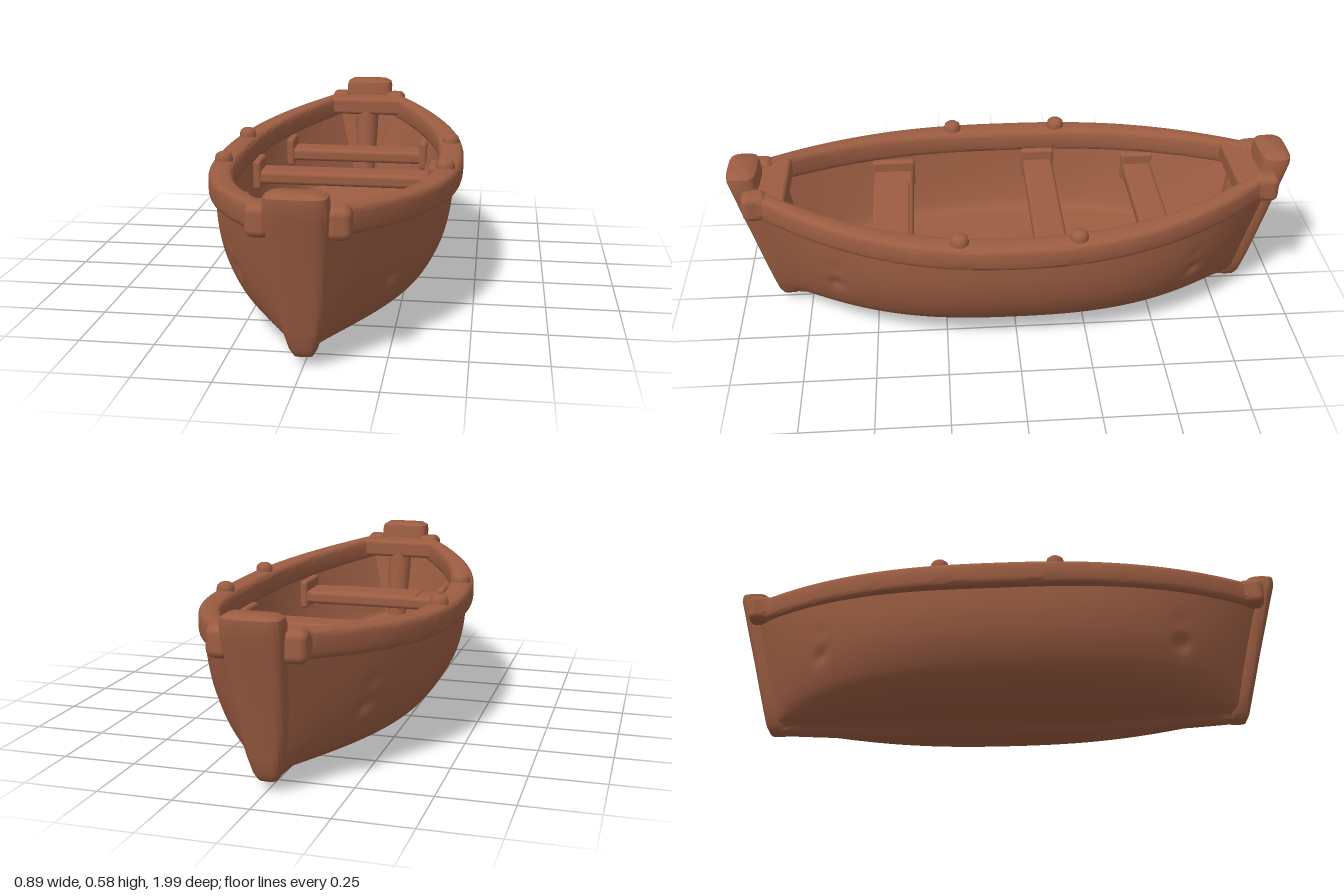
import * as THREE from 'three';
import { toCreasedNormals } from 'three/addons/utils/BufferGeometryUtils.js';
import { RoundedBoxGeometry } from 'three/addons/geometries/RoundedBoxGeometry.js';

const V = (x, y, z) => new THREE.Vector3(x, y, z);
const lerp = THREE.MathUtils.lerp;

// Skin a list of cross-sections; closed sections wrap round, both ends get caps.
function loft(rows, closed) {
  const n = rows[0].length, pos = [], idx = [];
  rows.forEach(r => r.forEach(p => pos.push(p.x, p.y, p.z)));
  const steps = closed ? n : n - 1;
  for (let i = 0; i < rows.length - 1; i++) {
    for (let j = 0; j < steps; j++) {
      const k = (j + 1) % n, a = i * n, b = a + n;
      idx.push(a + j, a + k, b + j, a + k, b + k, b + j);
    }
  }
  [0, rows.length - 1].forEach((r, e) => {
    const c = rows[r].reduce((s, p) => s.add(p), V(0, 0, 0)).divideScalar(n);
    const ci = pos.length / 3;
    pos.push(c.x, c.y, c.z);
    for (let j = 0; j < n; j++) {
      const a = r * n + j, b = r * n + (j + 1) % n;
      if (e) idx.push(ci, a, b); else idx.push(ci, b, a);
    }
  });
  const g = new THREE.BufferGeometry();
  g.setAttribute('position', new THREE.Float32BufferAttribute(pos, 3));
  g.setIndex(idx);
  return toCreasedNormals(g, 0.75);
}

// Rounded-rectangle section point, within -1..1
function roundSquare(a) {
  const f = v => Math.sign(v) * Math.sqrt(Math.abs(v));
  return [f(Math.cos(a)), f(Math.sin(a))];
}

// Half profile from rim to keel, smoothed and mirrored to a full section
function fullProfile(points, count) {
  const half = new THREE.SplineCurve(points.map(p => new THREE.Vector2(...p))).getSpacedPoints(count);
  return [...half.map(p => [-p.x, p.y]), ...half.slice(0, -1).reverse().map(p => [p.x, p.y])];
}

// Plan curve and sheer of the gunwale
const outline = z => 0.445 * (1 - Math.abs(z / 1.05) ** 2.3);
const sheer = z => 0.055 * (z / 0.93) ** 2;

function hullGeometry() {
  const profile = fullProfile([[0.41, 0.43], [0.41, 0.36], [0.402, 0.28], [0.38, 0.2], [0.335, 0.12],
    [0.28, 0.075], [0.2, 0.045], [0.1, 0.031], [0.045, 0.023], [0.025, 0.006], [0, 0.002]], 44);
  const rows = [];
  for (let i = 0; i <= 120; i++) {
    const t = i / 60 - 1;
    rows.push(profile.map(([x, y]) => {
      const s = Math.sign(x), h = y / 0.43;
      const b = 1 - Math.abs(t) ** lerp(2.9, 2.5, h);
      const end = Math.min(Math.abs(x), 0.03 + 0.06 * h);
      const py = y + t * t * lerp(0.032, 0.055, h), z = t * (0.84 + 0.09 * h);
      let px = lerp(end, Math.abs(x), b);
      // Small knots pressed into the planking
      for (const [ky, depth] of [[0.23, 0.016], [0.31, 0.005]]) {
        px -= depth * Math.exp(-((Math.abs(z) - 0.63) ** 2 + (py - ky) ** 2) / 0.0006);
      }
      return V(s * px, py, z);
    }));
  }
  return loft(rows, false);
}

function liningGeometry() {
  const floor = 0.165;
  const profile = fullProfile([[0.37, 0.44], [0.357, 0.36], [0.335, 0.26], [0.31, 0.19],
    [0.295, 0.168], [0.2, floor], [0, floor]], 24).reverse();
  const rows = [];
  for (let i = 0; i <= 48; i++) {
    const t = i / 24 - 1;
    rows.push(profile.map(([x, y]) => {
      const h = (y - floor) / (0.44 - floor);
      const b = 1 - Math.abs(t) ** lerp(2.1, 2.4, h);
      const end = Math.min(Math.abs(x), 0.05 + 0.07 * h);
      return V(Math.sign(x) * lerp(end, Math.abs(x), b), y + t * t * 0.035, t * (0.79 + 0.06 * h));
    }));
  }
  return loft(rows, false);
}

function gunwaleGeometry() {
  const rows = [];
  for (let i = 0; i <= 64; i++) {
    const t = i / 32 - 1, z = t * 0.925;
    const slope = (outline(z - 0.001) - outline(z + 0.001)) / 0.002;
    const n = V(1, 0, slope).normalize();
    const w = lerp(0.046, 0.026, t * t);
    const c = V(outline(z), 0.43 + sheer(z), z).addScaledVector(n, -w);
    const ring = [];
    for (let j = 0; j < 24; j++) {
      const [u, v] = roundSquare(j / 24 * Math.PI * 2);
      ring.push(c.clone().addScaledVector(n, u * w).add(V(0, v * 0.045, 0)));
    }
    rows.push(ring);
  }
  return loft(rows, true);
}

// Raked end post: [height, half width, outer z, inner z]
function stemGeometry() {
  const rows = [[0.03, 0.015, 0.845, 0.81], [0.036, 0.03, 0.858, 0.8], [0.06, 0.044, 0.87, 0.8],
    [0.12, 0.06, 0.885, 0.81], [0.2, 0.073, 0.905, 0.825], [0.3, 0.083, 0.93, 0.845],
    [0.4, 0.09, 0.957, 0.865], [0.5, 0.096, 0.983, 0.885], [0.55, 0.097, 0.997, 0.89],
    [0.57, 0.093, 0.997, 0.894], [0.581, 0.075, 0.982, 0.91]];
  return loft(rows.map(([y, w, z1, z0]) => {
    const ring = [];
    for (let j = 0; j < 32; j++) {
      const [u, v] = roundSquare(j / 32 * Math.PI * 2);
      ring.push(V(u * w, y, (z0 + z1) / 2 - v * (z1 - z0) / 2));
    }
    return ring;
  }), true);
}

export function createModel() {
  const boat = new THREE.Group();
  boat.name = 'rowingBoat';
  const wood = new THREE.MeshStandardMaterial({ color: 0x9c5d42 });
  wood.name = 'reddishWood';

  const add = (name, geometry, x = 0, y = 0, z = 0, parent = boat) => {
    const m = new THREE.Mesh(geometry, wood);
    m.name = name;
    m.position.set(x, y, z);
    parent.add(m);
    return m;
  };
  const box = (w, h, d, r = 0.015) => new RoundedBoxGeometry(w, h, d, 3, r);

  add('hull', hullGeometry());
  add('innerLining', liningGeometry());

  // The boat is the same fore and aft, so each half turn repeats a rail and an end
  const rail = gunwaleGeometry(), stem = stemGeometry();
  const pin = new THREE.LatheGeometry([[0.032, -0.03], [0.032, 0.015], [0.028, 0.029], [0.018, 0.037], [0, 0.039]]
    .map(p => new THREE.Vector2(...p)), 20);
  ['bow', 'stern'].forEach((end, k) => {
    const half = new THREE.Group();
    half.name = end + 'Half';
    half.rotation.y = k * Math.PI;
    boat.add(half);
    add('gunwale', rail, 0, 0, 0, half);
    add('stemPost', stem, 0, 0, 0, half);
    add('breasthook', box(0.31, 0.07, 0.135), 0, 0.483, 0.86, half);
    for (const s of [-1, 1]) {
      const block = add('railEndBlock', box(0.075, 0.1, 0.09, 0.025), s * 0.118, 0.483, 0.9, half);
      block.rotation.y = s * 0.12;
    }
    const post = add('innerPost', new THREE.CylinderGeometry(0.05, 0.04, 0.3, 16), 0, 0.32, 0.82, half);
    post.rotation.x = 0.15;
    // Rowlock pins on the rail
    for (const z of [-0.2, 0.2]) add('rowlockPin', pin, 0.39, 0.47, z, half);
  });

  // Thwarts with a bracket at each end: [z, depth, half length]
  for (const [z, depth, w] of [[-0.505, 0.11, 0.275], [-0.125, 0.115, 0.335], [0.43, 0.15, 0.285]]) {
    add('thwart', box(w * 2, 0.05, depth), 0, 0.345, z);
    for (const s of [-1, 1]) {
      add('thwartBracket', box(0.03, 0.11, depth + 0.01, 0.01), s * (w - 0.005), 0.355, z);
    }
  }
  add('bowThwartPad', box(0.36, 0.016, 0.12, 0.007), 0, 0.367, 0.43);

  return boat;
}
